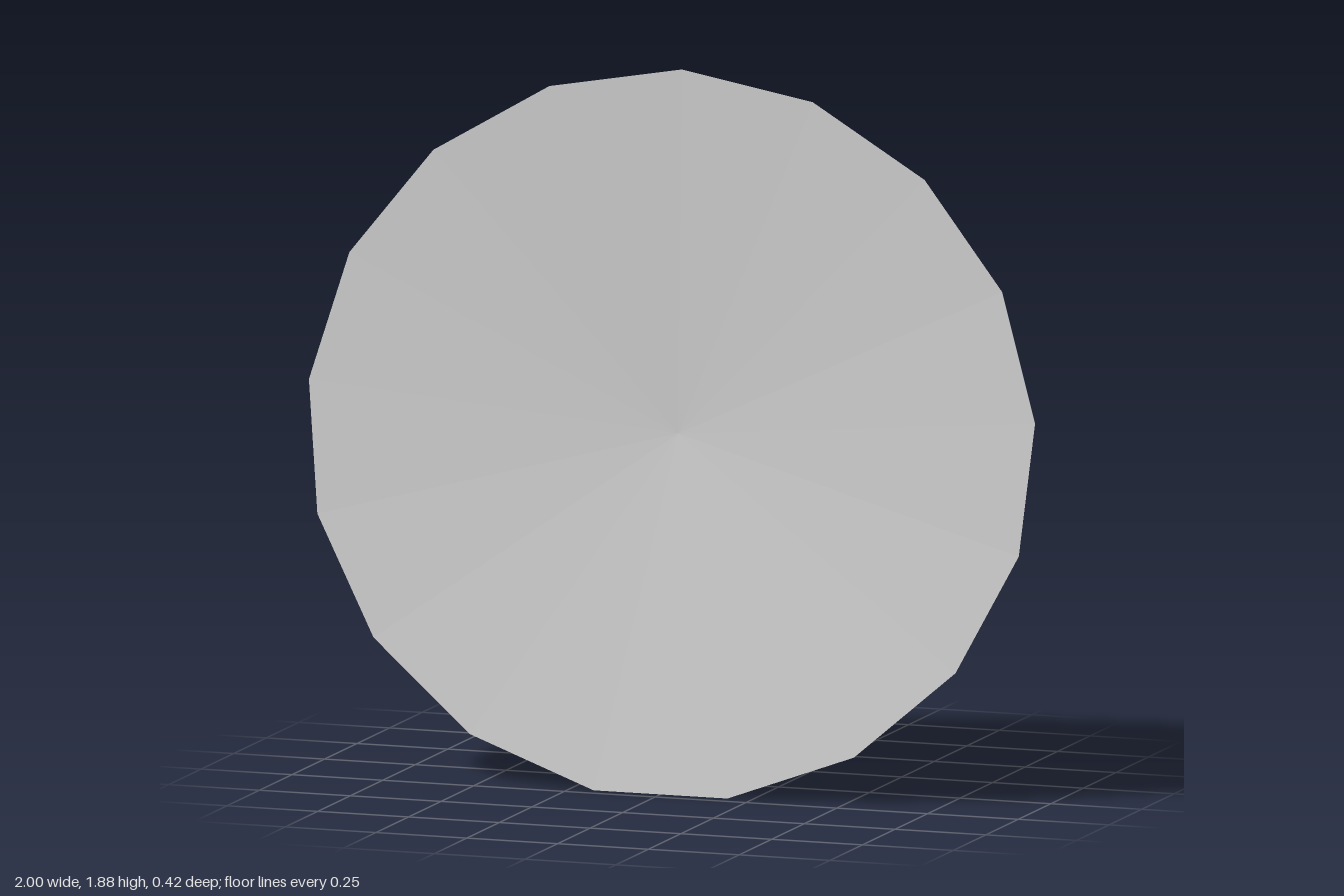
import * as THREE from 'three';

// Faceted round shell: profile points are [radius, depth toward the back]
function shell(name, profile, sides, phase, material) {
  const points = profile.map(([r, d]) => new THREE.Vector2(r, d));
  const geometry = new THREE.LatheGeometry(points, sides, phase);
  geometry.rotateX(-Math.PI / 2); // depth axis now runs along -z
  const mesh = new THREE.Mesh(geometry, material);
  mesh.name = name;
  return mesh;
}

export function createModel() {
  const group = new THREE.Group();
  group.name = 'dishWithCap';

  const lightGrey = new THREE.MeshStandardMaterial({
    color: 0xcccccc, flatShading: true, side: THREE.DoubleSide,
  });
  lightGrey.name = 'lightGrey';

  // Wide dish: shallow hollow front, two sloping bands behind
  const dish = shell('dish', [[0, 0.055], [1, 0], [0.63, 0.143], [0, 0.31]], 17, 0, lightGrey);
  dish.geometry.scale(1.004, 0.952, 1);
  dish.position.set(0, 0.932, 0.128);
  dish.rotation.x = -0.087;
  group.add(dish);

  // Off-centre domed cap on the back, open underneath
  const cap = shell('backCap', [[0.515, 0], [0.32, 0.102], [0, 0.14]], 10, Math.PI / 10, lightGrey);
  cap.position.set(-0.115, 1.19, -0.07);
  cap.rotation.set(0.058, 0.043, 0);
  group.add(cap);

  return group;
}
